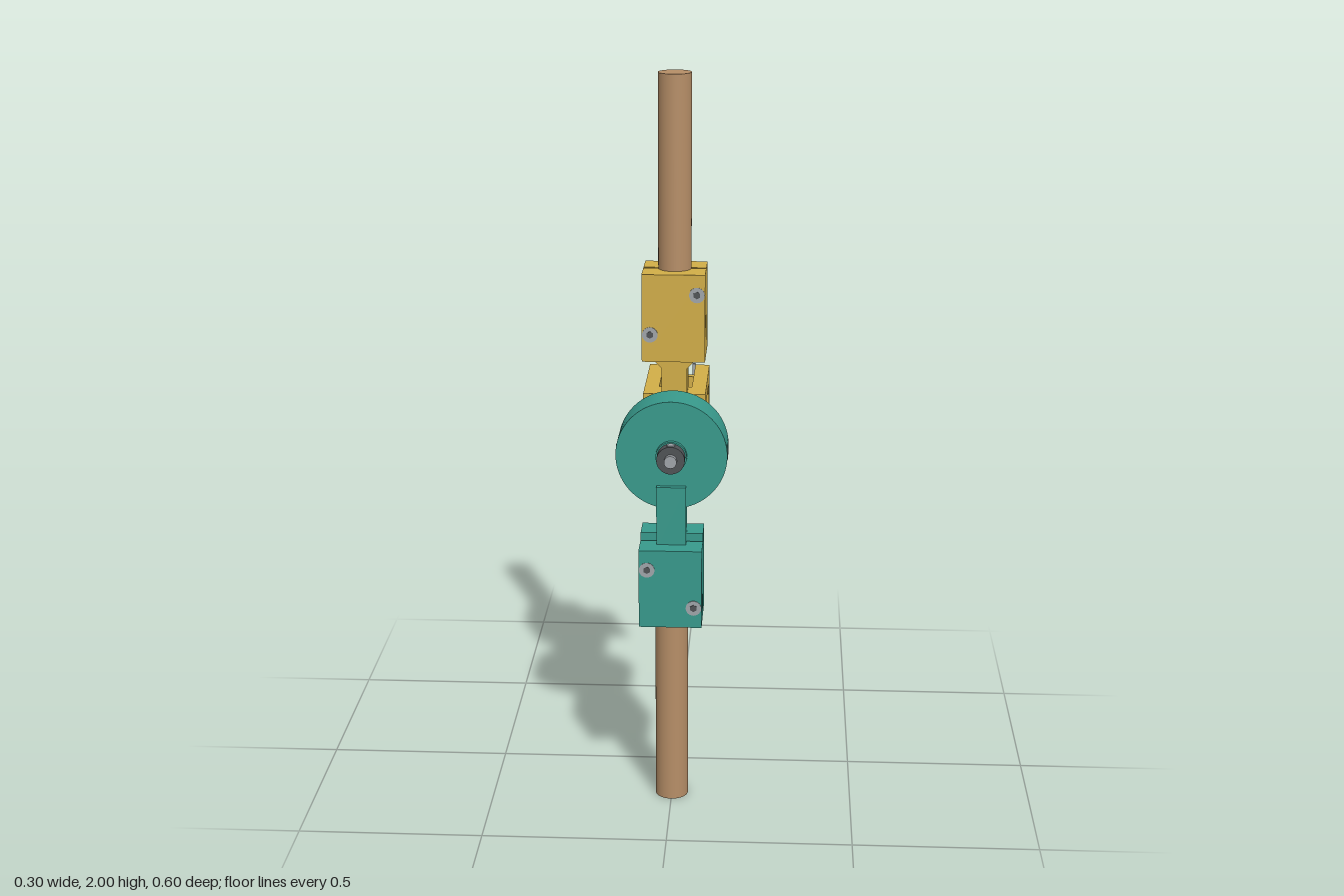
import * as THREE from 'three';

const mat = (name, color) => Object.assign(new THREE.MeshStandardMaterial({ color }), { name });

export function createModel() {
  const root = new THREE.Group();
  root.name = 'jointedRodAssembly';
  const teal = mat('teal plastic', 0x389a8c);
  const yellow = mat('yellow plastic', 0xd2ae48);
  const wood = mat('wood', 0xb68e67);
  const steel = mat('steel', 0xa0a5aa);
  const dark = mat('dark metal', 0x505356);
  const HUB = 1.003; // height of the joint axis

  const add = (name, geo, m, parent = root) => {
    const mesh = new THREE.Mesh(geo, m);
    mesh.name = name;
    parent.add(mesh);
    return mesh;
  };
  // box given by its limits
  const box = (name, m, x0, x1, y0, y1, z0, z1, parent) => add(name,
    new THREE.BoxGeometry(x1 - x0, y1 - y0, z1 - z0)
      .translate((x0 + x1) / 2, (y0 + y1) / 2, (z0 + z1) / 2), m, parent);
  // cylinders along each axis
  const cylZ = (name, m, r, z0, z1, x = 0, y = HUB, n = 40, parent = root) => add(name,
    new THREE.CylinderGeometry(r, r, z1 - z0, n).rotateX(Math.PI / 2)
      .translate(x, y, (z0 + z1) / 2), m, parent);
  const cylY = (name, m, r, y0, y1, x, z, n = 40, parent = root) => add(name,
    new THREE.CylinderGeometry(r, r, y1 - y0, n).translate(x, (y0 + y1) / 2, z), m, parent);
  const cylX = (name, m, r, x0, x1, y, z, n = 32) => add(name,
    new THREE.CylinderGeometry(r, r, x1 - x0, n).rotateZ(Math.PI / 2)
      .translate((x0 + x1) / 2, y, z), m);
  const poly = pts => new THREE.Shape(pts.map(p => new THREE.Vector2(...p)));
  const extrude = (pts, depth) =>
    new THREE.ExtrudeGeometry(poly(pts), { depth, bevelEnabled: false });

  // wooden rods
  cylY('upperRod', wood, 0.045, 1.24, 2, 0, 0.047);
  cylY('lowerRod', wood, 0.045, 0, 0.74, 0, 0.213);

  // two-piece clamp with through screws
  const clamp = (name, m, zc, y0, topFront, topBack, screws) => {
    const g = new THREE.Group();
    g.name = name;
    root.add(g);
    box('frontHalf', m, -0.085, 0.085, y0, topFront, zc + 0.004, zc + 0.084, g);
    box('backHalf', m, -0.085, 0.085, y0, topBack, zc - 0.082, zc - 0.004, g);
    for (const [x, y] of screws) {
      cylZ('screw', steel, 0.021, zc - 0.084, zc + 0.086, x, y, 24, g);
      cylZ('screwSocket', dark, 0.01, zc - 0.085, zc + 0.087, x, y, 6, g);
    }
  };
  clamp('upperClamp', yellow, 0.047, 1.235, 1.475, 1.475, [[0.063, 1.42], [-0.063, 1.31]]);
  clamp('lowerClamp', teal, 0.213, 0.535, 0.755, 0.775, [[-0.063, 0.7], [0.063, 0.592]]);

  // upper neck with flared top
  add('upperNeck', extrude([[-0.035, 1.03], [0.035, 1.03], [0.035, 1.205], [0.065, 1.236],
    [-0.065, 1.236], [-0.035, 1.205]], 0.07).translate(0, 0, 0.015), yellow);

  // yellow hub with its stop bar
  cylZ('yellowHub', yellow, 0.05, -0.025, 0.122);
  box('stopBar', yellow, 0.03, 0.12, 0.983, 1.023, 0.091, 0.116);

  // bracket carrying the sensor
  box('bracketBase', yellow, -0.085, 0.085, 1.09, 1.132, 0.012, 0.085);
  for (const x of [-0.045, 0.085]) {
    add('bracketArm', extrude([[0.014, 1.091], [0.014, 1.131], [-0.218, 1.131], [-0.218, 1.05],
      [-0.2, 1.05], [-0.16, 1.091]].reverse(), 0.04).rotateY(-Math.PI / 2).translate(x, 0, 0), yellow);
  }
  box('bracketPlate', yellow, -0.085, 0.085, 0.89, 1.1, -0.222, -0.2);

  // teal disc, lower neck and stop pegs
  add('jointDisc', new THREE.CylinderGeometry(0.15, 0.15, 0.11, 72).rotateX(Math.PI / 2)
    .translate(0, HUB, 0.177), teal);
  box('lowerNeck', teal, -0.04, 0.04, 0.74, 0.918, 0.18, 0.247);
  for (const s of [-1, 1]) {
    cylZ('stopPeg', teal, 0.0135, 0.09, 0.13, -0.102, HUB + s * 0.07, 24);
    cylX('discSetScrew', dark, 0.02, s > 0 ? 0.13 : -0.1505, s > 0 ? 0.1505 : -0.13, HUB, 0.192, 24);
    cylX('discSetScrewCore', steel, 0.01, s > 0 ? 0.13 : -0.151, s > 0 ? 0.151 : -0.13, HUB, 0.192, 24);
  }

  // front shaft and retaining collar
  cylZ('frontBushing', teal, 0.042, 0.23, 0.245);
  cylZ('frontCollar', dark, 0.038, 0.245, 0.275);
  cylZ('frontShaft', steel, 0.017, 0.2, 0.29);
  cylY('collarScrew', steel, 0.011, HUB, HUB + 0.04, 0, 0.26, 20);

  // shaft coupling with two clamping screws
  cylZ('couplingNeck', dark, 0.031, -0.072, -0.02);
  cylZ('couplingBody', dark, 0.043, -0.168, -0.07);
  for (const z of [-0.147, -0.09]) {
    cylY('couplingNut', dark, 0.023, HUB, HUB + 0.049, 0, z, 6);
    cylY('couplingScrew', steel, 0.011, HUB, HUB + 0.052, 0, z, 20);
  }

  // rotary sensor
  cylZ('sensorBushing', steel, 0.022, -0.19, -0.165);
  cylZ('sensorNut', steel, 0.026, -0.2, -0.186, 0, HUB, 6);
  cylZ('sensorCollar', steel, 0.025, -0.24, -0.222);
  cylZ('sensorBody', steel, 0.058, -0.298, -0.238);
  box('sensorTab', steel, 0.05, 0.057, 0.99, 1.015, -0.242, -0.199);
  box('terminalBoard', steel, -0.045, 0.045, 1.03, 1.085, -0.258, -0.246);
  for (const x of [-0.04, 0, 0.04]) {
    box('terminalMount', steel, x - 0.013, x + 0.013, 1.06, 1.088, -0.262, -0.24);
    box('terminalPin', steel, x - 0.005, x + 0.005, 1.08, 1.125, -0.254, -0.248);
  }
  return root;
}
